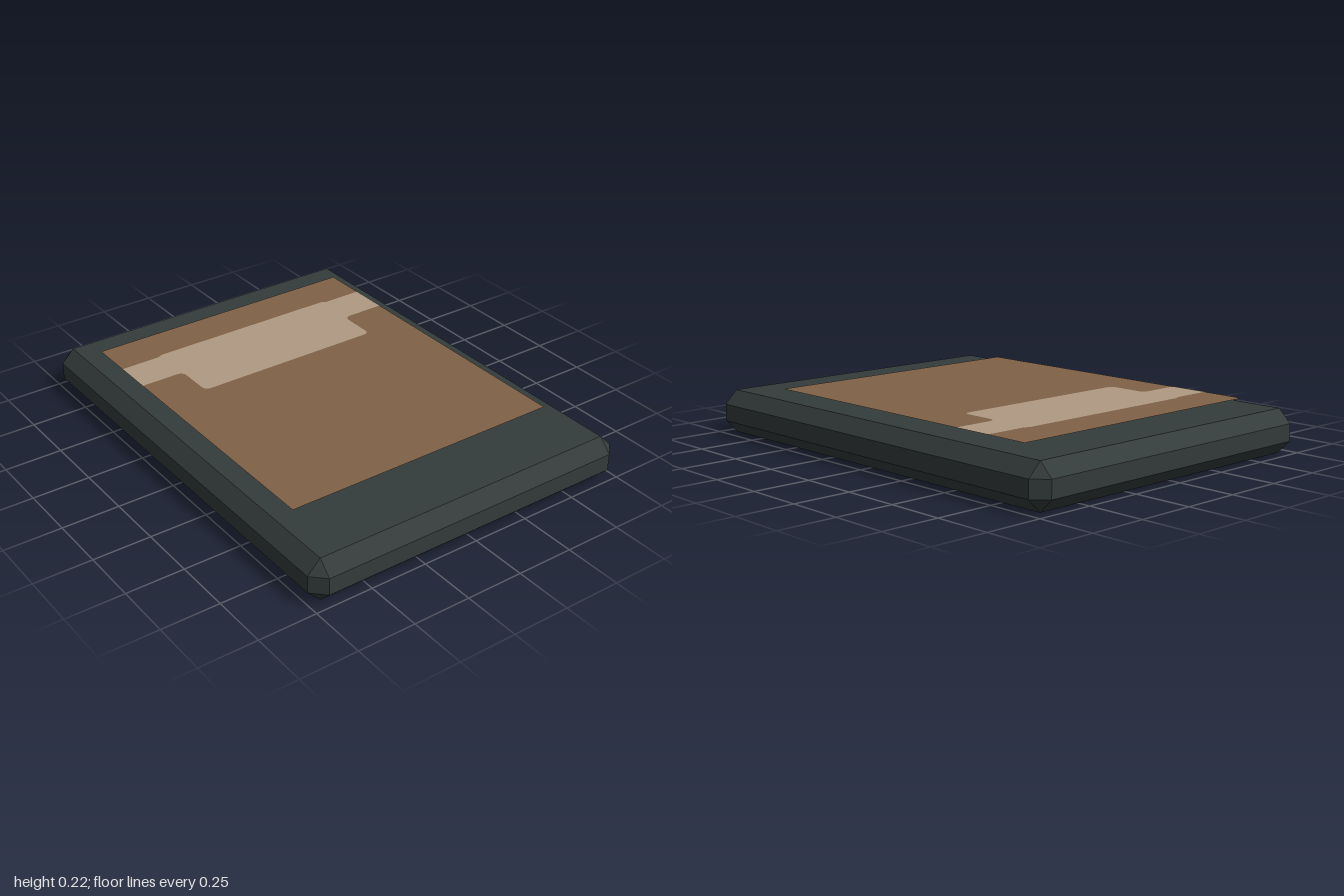
import * as THREE from 'three';
import { ConvexGeometry } from 'three/addons/geometries/ConvexGeometry.js';

const W = 0.75, H = 0.188, D = 1, BEVEL = 0.057;
const PANEL_Y = 0.218, PANEL_X = 0.628;

// Box with flat bevelled edges and triangular corner facets
function bevelledBox(hx, hy, hz, b) {
  const points = [];
  for (const sx of [-1, 1]) for (const sy of [-1, 1]) for (const sz of [-1, 1]) {
    points.push(
      new THREE.Vector3(sx * hx, sy * (hy - b), sz * (hz - b)),
      new THREE.Vector3(sx * (hx - b), sy * hy, sz * (hz - b)),
      new THREE.Vector3(sx * (hx - b), sy * (hy - b), sz * hz));
  }
  return new ConvexGeometry(points);
}

// Flat outline facing up at height y; outline y is -z
function inlay(shape, y, material, name) {
  const mesh = new THREE.Mesh(new THREE.ShapeGeometry(shape, 6), material);
  mesh.name = name;
  mesh.rotation.x = -Math.PI / 2;
  mesh.position.y = y;
  return mesh;
}

export function createModel() {
  const group = new THREE.Group();
  group.name = 'tablet';
  const slate = new THREE.MeshStandardMaterial({ color: 0x343b3b, flatShading: true });
  slate.name = 'dark slate';
  const brown = new THREE.MeshStandardMaterial({ color: 0x816147 });
  brown.name = 'brown';
  const tan = new THREE.MeshStandardMaterial({ color: 0xb09b83 });
  tan.name = 'tan';

  // Casing
  const body = new THREE.Mesh(bevelledBox(W, H / 2, D, BEVEL), slate);
  body.name = 'casing';
  body.position.y = H / 2;
  group.add(body);

  // Brown panel, floating just above the casing
  const panel = new THREE.Shape();
  panel.moveTo(-PANEL_X, -0.677).lineTo(PANEL_X, -0.677);
  panel.lineTo(PANEL_X, 0.798).lineTo(-PANEL_X, 0.798);
  group.add(inlay(panel, PANEL_Y, brown, 'panel'));

  // Tan band with a wider middle and rounded steps
  const band = new THREE.Shape();
  band.moveTo(-PANEL_X, 0.432).lineTo(-0.465, 0.432);
  band.quadraticCurveTo(-0.432, 0.432, -0.432, 0.4);
  band.lineTo(-0.432, 0.28).quadraticCurveTo(-0.432, 0.25, -0.402, 0.25);
  band.lineTo(0.397, 0.25).quadraticCurveTo(0.427, 0.25, 0.427, 0.28);
  band.lineTo(0.427, 0.4).quadraticCurveTo(0.427, 0.432, 0.46, 0.432);
  band.lineTo(PANEL_X, 0.432).lineTo(PANEL_X, 0.606).lineTo(0.445, 0.606);
  band.lineTo(0.425, 0.617).lineTo(-0.43, 0.617).lineTo(-0.45, 0.606).lineTo(-PANEL_X, 0.606);
  group.add(inlay(band, PANEL_Y + 0.001, tan, 'band'));

  return group;
}
